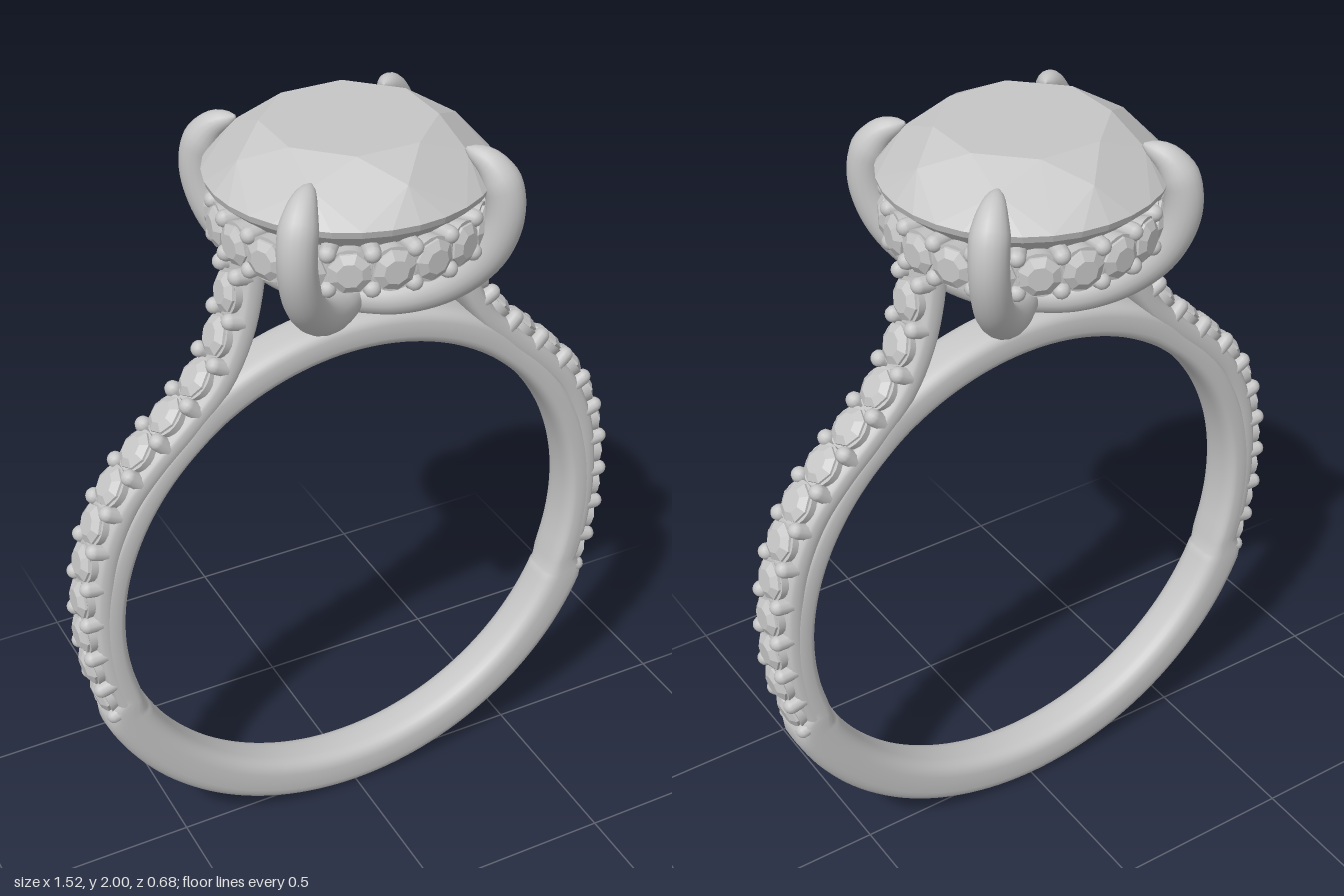
import * as THREE from 'three';

const metal = new THREE.MeshStandardMaterial({ color: 0xc6c6c6 });
metal.name = 'polished metal';
const gem = new THREE.MeshStandardMaterial({ color: 0xc6c6c6, flatShading: true });
gem.name = 'faceted gem';

const UP = new THREE.Vector3(0, 1, 0);

function addMesh(parent, name, geometry, material) {
  const mesh = new THREE.Mesh(geometry, material);
  mesh.name = name;
  parent.add(mesh);
  return mesh;
}

// Sweeps a superellipse section along a path in the xy plane.
// Each path point is { x, y, t: half thickness, w: half width in z }.
function sweep(path, exponent, closed = false, sides = 24) {
  const n = path.length, pos = [], index = [];
  const bend = (v) => Math.sign(v) * Math.abs(v) ** (2 / exponent);
  for (let i = 0; i < n; i++) {
    const p = path[i];
    const a = path[closed ? (i + n - 1) % n : Math.max(i - 1, 0)];
    const b = path[closed ? (i + 1) % n : Math.min(i + 1, n - 1)];
    const len = Math.hypot(b.x - a.x, b.y - a.y) || 1;
    const nx = (b.y - a.y) / len, ny = -(b.x - a.x) / len;
    for (let j = 0; j < sides; j++) {
      const f = (j / sides) * Math.PI * 2;
      const c = bend(Math.cos(f)) * p.t, s = bend(Math.sin(f)) * p.w;
      pos.push(p.x + nx * c, p.y + ny * c, s);
    }
  }
  for (let i = 0; i < (closed ? n : n - 1); i++) {
    for (let j = 0; j < sides; j++) {
      const k = (j + 1) % sides, r = i * sides, q = ((i + 1) % n) * sides;
      index.push(r + j, q + j, r + k, r + k, q + j, q + k);
    }
  }
  const g = new THREE.BufferGeometry();
  g.setAttribute('position', new THREE.Float32BufferAttribute(pos, 3));
  g.setIndex(index);
  g.computeVertexNormals();
  return g;
}

// Closes both ends of a sweep path with zero-size sections
const capped = (path) => [
  { ...path[0], t: 0, w: 0 }, ...path, { ...path[path.length - 1], t: 0, w: 0 },
];

const lathe = (pts, seg) =>
  new THREE.LatheGeometry(pts.map(([x, y]) => new THREE.Vector2(x, y)), seg);

// Small accent stone, its seat and a claw; the origin is at the outer surface
const accentGeo = lathe([[0, -0.05], [0.05, -0.018], [0.05, -0.012], [0.03, 0], [0, 0]], 8);
const seatGeo = new THREE.CylinderGeometry(0.055, 0.05, 0.035, 20).translate(0, -0.036, 0);
const clawGeo = new THREE.CapsuleGeometry(0.021, 0.035, 4, 10).translate(0, -0.037, 0);

function place(mesh, p, normal) {
  mesh.position.copy(p);
  mesh.quaternion.setFromUnitVectors(UP, normal);
}
function addAccent(parent, p, normal) {
  place(addMesh(parent, 'accentStone', accentGeo, gem), p, normal);
  place(addMesh(parent, 'accentSeat', seatGeo, metal), p, normal);
}
function addClaws(parent, p, normal, side) {
  for (const s of [-1, 1]) {
    place(addMesh(parent, 'accentClaw', clawGeo, metal), p.clone().addScaledVector(side, s * 0.043), normal);
  }
}

// Finger band: thicker at the base, cut down under the paved shoulders
function makeBand() {
  const path = [], steps = 160, step = THREE.MathUtils.smoothstep;
  for (let i = 0; i < steps; i++) {
    const a = (i / steps) * Math.PI * 2;
    const up = Math.asin(Math.sin(a)) * 180 / Math.PI;
    const outer = 0.765 - 0.05 * step(up, -21, -18) + 0.02 * step(up, 48, 58);
    const mid = (outer + 0.64) / 2;
    path.push({ x: Math.cos(a) * mid, y: 0.765 + Math.sin(a) * mid, t: (outer - 0.64) / 2, w: 0.065 });
  }
  return sweep(path, 3.2, true, 28);
}

// Paved shoulder on the +x side, rising from the band to the halo
function makeShoulder() {
  const group = new THREE.Group();
  const curve = new THREE.CatmullRomCurve3([
    [0.705, 0.5], [0.745, 0.65], [0.758, 0.78], [0.752, 0.92], [0.725, 1.05], [0.665, 1.18],
    [0.58, 1.28], [0.49, 1.365], [0.41, 1.45], [0.36, 1.55], [0.335, 1.65], [0.325, 1.73],
  ].map(([x, y]) => new THREE.Vector3(x, y, 0)));
  const at = (u) => {
    const t = curve.getTangentAt(u);
    return { p: curve.getPointAt(u), n: new THREE.Vector3(t.y, -t.x, 0).normalize() };
  };
  const path = [];
  for (let i = 0; i <= 50; i++) {
    const { p, n } = at(i / 50);
    path.push({ x: p.x - n.x * 0.063, y: p.y - n.y * 0.063, t: 0.031, w: 0.064 });
  }
  addMesh(group, 'shoulderRail', sweep(capped(path), 3.2), metal);
  const side = new THREE.Vector3(0, 0, 1), first = 0.045, gap = 0.0805;
  for (let i = 0; i < 12; i++) {
    const { p, n } = at(first + gap * i);
    addAccent(group, p, n);
  }
  for (let i = 0; i <= 12; i++) {
    const { p, n } = at(Math.min(1, Math.max(0.012, first + gap * (i - 0.5))));
    addClaws(group, p, n, side);
  }
  return group;
}

// Ring of accent stones under the main stone
function makeHalo() {
  const group = new THREE.Group();
  group.name = 'halo';
  const body = lathe([[0.255, 1.735], [0.29, 1.735], [0.3, 1.745], [0.3, 1.81], [0.29, 1.82],
    [0.255, 1.82], [0.255, 1.735]], 64);
  addMesh(group, 'haloRing', body, metal);
  const count = 20;
  for (let i = 0; i < count; i++) {
    const spot = (k) => {
      const a = (k / count) * Math.PI * 2;
      const n = new THREE.Vector3(Math.sin(a), 0, Math.cos(a));
      return [n.clone().multiplyScalar(0.335).setY(1.776), n];
    };
    addAccent(group, ...spot(i + 0.5));
    addClaws(group, ...spot(i), UP);
  }
  return group;
}

// Brilliant-cut crown: table, stars, kites and girdle facets
function makeCrown() {
  const pos = [];
  const at = (seg, r, y) => {
    const a = (seg / 32) * Math.PI * 2;
    return [r * Math.sin(a), y, r * Math.cos(a)];
  };
  const table = (s) => at(s, 0.205, 2);
  const middle = (s) => at(s, 0.28, 1.954);
  const girdle = (s) => at(s, 0.34, 1.885);
  const tri = (...pts) => pts.forEach((p) => pos.push(...p));
  for (let s = 0; s < 32; s += 4) {
    tri([0, 2, 0], table(s - 2), table(s + 2));
    tri(table(s - 2), middle(s), table(s + 2));
    tri(table(s - 2), girdle(s - 2), middle(s));
    tri(table(s + 2), middle(s), girdle(s + 2));
    for (let k = -2; k < 2; k++) tri(middle(s), girdle(s + k), girdle(s + k + 1));
  }
  const g = new THREE.BufferGeometry();
  g.setAttribute('position', new THREE.Float32BufferAttribute(pos, 3));
  g.computeVertexNormals();
  return g;
}

// Curved prong from the base of the basket to its tapered tip
function makeProng() {
  const curve = new THREE.CatmullRomCurve3([
    [0, 1.545], [0.12, 1.56], [0.24, 1.615], [0.33, 1.7], [0.37, 1.8], [0.365, 1.88],
    [0.33, 1.935], [0.275, 1.963],
  ].map(([x, y]) => new THREE.Vector3(x, y, 0)));
  const path = [];
  for (let i = 0; i <= 48; i++) {
    const u = i / 48, p = curve.getPointAt(u);
    const r = 0.046 * Math.sqrt(Math.min(1, Math.max(0.01, (1 - u) / 0.16)));
    path.push({ x: p.x, y: p.y, t: r, w: r });
  }
  return sweep(capped(path), 2, false, 18);
}

export function createModel() {
  const model = new THREE.Group();
  model.name = 'ring';
  addMesh(model, 'band', makeBand(), metal);

  for (const side of ['left', 'right']) {
    const shoulder = makeShoulder();
    shoulder.name = side + 'Shoulder';
    if (side === 'right') shoulder.rotation.y = Math.PI;
    model.add(shoulder);
  }

  model.add(makeHalo());

  const stone = new THREE.Group();
  stone.name = 'mainStone';
  addMesh(stone, 'crown', makeCrown(), gem);
  addMesh(stone, 'pavilion', lathe([[0, 1.58], [0.335, 1.868], [0.34, 1.885]], 32), gem);
  model.add(stone);

  const prongGeo = makeProng();
  for (let i = 0; i < 4; i++) {
    addMesh(model, 'prong', prongGeo, metal).rotation.y = Math.PI / 4 + (i * Math.PI) / 2;
  }
  return model;
}
